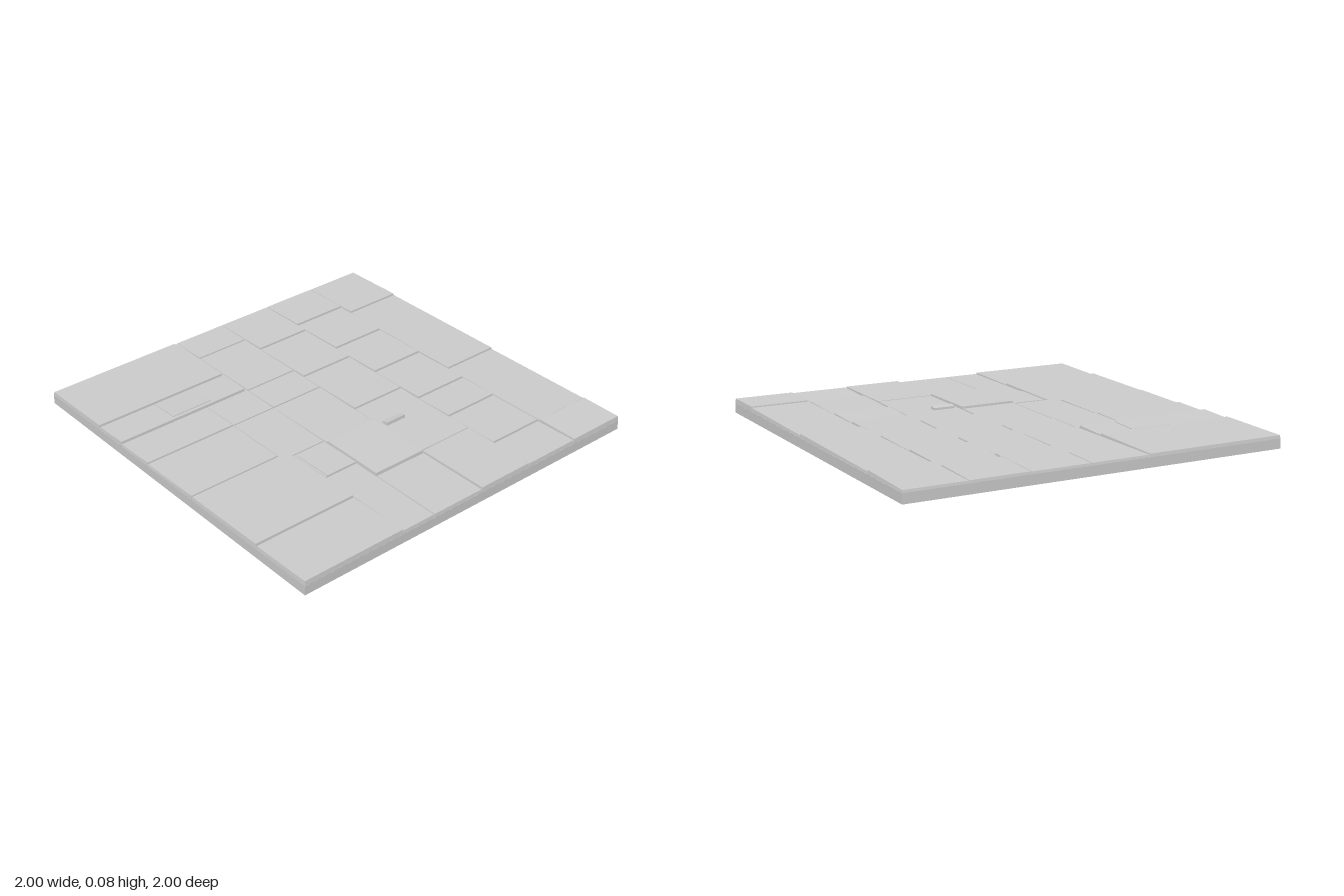
import * as THREE from 'three';

const material = new THREE.MeshStandardMaterial({ color: 0xcccccc, flatShading: true });
const BASE_HEIGHT = 0.05;

// A block standing in the base, its top sloping from the back height up to the front height
function slab(x0, x1, z0, z1, back, front) {
  const geometry = new THREE.BoxGeometry(1, 1, 1);
  const p = geometry.attributes.position;
  for (let i = 0; i < p.count; i++) {
    const right = p.getX(i) > 0, isFront = p.getZ(i) > 0, top = p.getY(i) > 0;
    // Worn edges: the top is drawn in a hair from the foot
    const inset = top ? 0.003 : 0;
    p.setXYZ(
      i,
      right ? x1 - inset : x0 + inset,
      top ? (isFront ? front : back) : BASE_HEIGHT - 0.005,
      isFront ? z1 - inset : z0 + inset,
    );
  }
  geometry.computeVertexNormals();
  return new THREE.Mesh(geometry, material);
}

// Columns of paving: x range, joints from back to front, and the height of the front edges.
// A column may end in one level stone that stands proud of the rest.
const columns = [
  { name: 'outerRight', x: [0.68, 1], joints: [-1, -0.65, 0.12, 0.77], front: 0.07 },
  { name: 'innerRight', x: [0.37, 0.68], joints: [-1, -0.73, -0.41, -0.1, 0.23, 0.45, 0.76, 1], front: 0.071 },
  { name: 'centreRight', x: [0.06, 0.37], joints: [-1, -0.66, -0.3, 0.1, 0.59], front: 0.07 },
  { name: 'centreLeft', x: [-0.24, 0.06], joints: [-1, -0.79, -0.38, -0.17, 0.24], front: 0.067 },
  { name: 'innerLeftMiddle', x: [-0.49, -0.24], joints: [-0.39, -0.17, 0.22], front: 0.066 },
  { name: 'innerLeftFront', x: [-0.43, -0.24], joints: [0.22, 0.46, 1], front: 0.067 },
  { name: 'outerLeftBack', x: [-1, -0.25], joints: [-1, -0.58, -0.39], front: 0.074 },
  { name: 'outerLeftMiddle', x: [-1, -0.49], joints: [-0.39, -0.17, 0.18], front: 0.069 },
  { name: 'outerLeftFront', x: [-1, -0.43], joints: [0.18, 0.66, 1], front: 0.074 },
];

export function createModel() {
  const group = new THREE.Group();
  group.name = 'pavedFloor';

  const add = (name, mesh) => {
    mesh.name = name;
    group.add(mesh);
  };

  // Bedding slab
  const base = new THREE.Mesh(new THREE.BoxGeometry(2, BASE_HEIGHT, 2), material);
  base.position.y = BASE_HEIGHT / 2;
  add('base', base);

  // Mortar fill just under the stone tops
  add('mortar', slab(-0.998, 0.998, -0.998, 0.998, 0.06, 0.06));

  // Paving stones, each lower at its back so that its front edge forms a step
  for (const { name, x: [x0, x1], joints, front } of columns) {
    const column = new THREE.Group();
    column.name = `${name}Column`;
    for (let i = 1; i < joints.length; i++) {
      const back = Math.max(0.062, front - 0.008);
      const stone = slab(x0, x1, joints[i - 1], joints[i], back, front);
      stone.name = `${name}Stone${i}`;
      column.add(stone);
    }
    group.add(column);
  }

  // Level stones standing proud, and the plain one in front of the centre
  add('raisedCornerStone', slab(0.68, 1, 0.77, 1, 0.075, 0.075));
  add('raisedFrontStone', slab(0.06, 0.37, 0.59, 1, 0.071, 0.075));
  add('raisedCentreStone', slab(-0.24, 0.06, 0.24, 0.6, 0.077, 0.077));
  add('lowFrontStone', slab(-0.24, 0.06, 0.6, 1, 0.064, 0.067));

  // Raised flakes of broken stone
  add('backFlake', slab(-0.68, -0.44, -0.57, -0.41, 0.07, 0.077));
  add('middleFlake', slab(-0.42, -0.24, 0.23, 0.46, 0.066, 0.071));
  add('smallFlake', slab(0.08, 0.2, 0.28, 0.32, 0.076, 0.083));
  return group;
}
